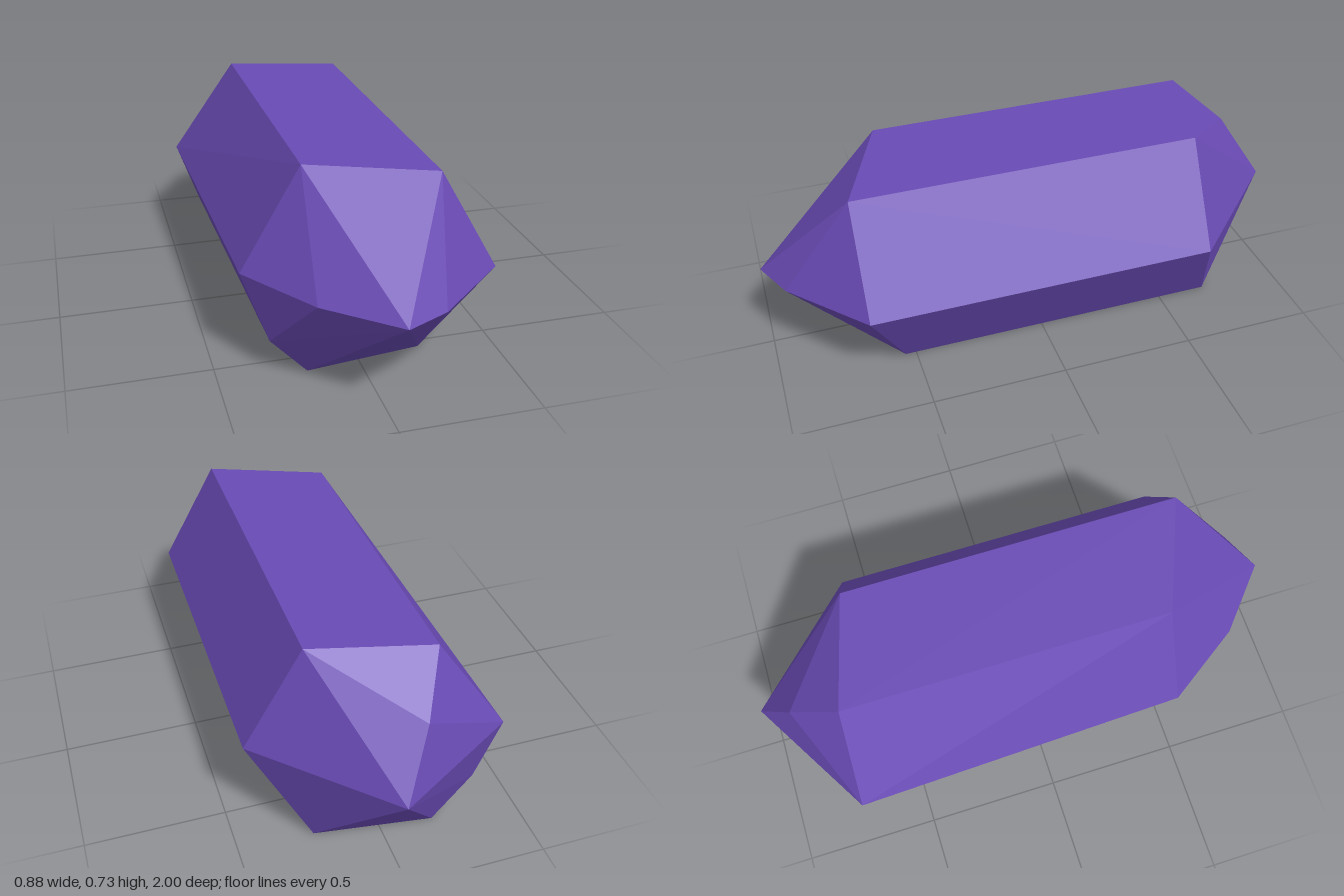
import * as THREE from 'three';
import { ConvexGeometry } from 'three/addons/geometries/ConvexGeometry.js';

// Long edges of the crystal, counter-clockwise from its left: front point and back point
const MID = 0.367, TOP = 0.734;
const longEdges = [
  [[0.44, MID, 0.685], [0.44, MID, -0.58]],
  [[0.23, TOP, 0.685], [0.23, TOP, -0.58]],
  [[-0.19, TOP, 0.515], [-0.19, TOP, -0.69]],
  [[-0.402, MID, 0.515], [-0.44, MID, -0.725]],
  [[-0.317, 0.13, 0.576], [-0.355, 0.125, -0.71]],
  [[-0.19, 0, 0.59], [-0.19, 0, -0.75]],
  [[0.23, 0, 0.54], [0.23, 0, -0.69]],
];

// Points of the faceted caps: the tips and the bevel points beside them
const frontCap = [[0.02, MID, 1], [0.17, MID, 0.93], [-0.21, MID, 0.8]];
const backCap = [[0.02, MID, -1], [-0.09, 0.58, -0.87]];

export function createModel() {
  const group = new THREE.Group();
  group.name = 'crystal';

  // The cut stone is the convex solid spanned by its corners
  const corners = [...longEdges.flat(), ...frontCap, ...backCap]
    .map((p) => new THREE.Vector3(...p));
  const material = new THREE.MeshStandardMaterial({ color: 0x6a4bb5, flatShading: true });
  const stone = new THREE.Mesh(new ConvexGeometry(corners), material);
  stone.name = 'crystalBody';
  group.add(stone);

  return group;
}
